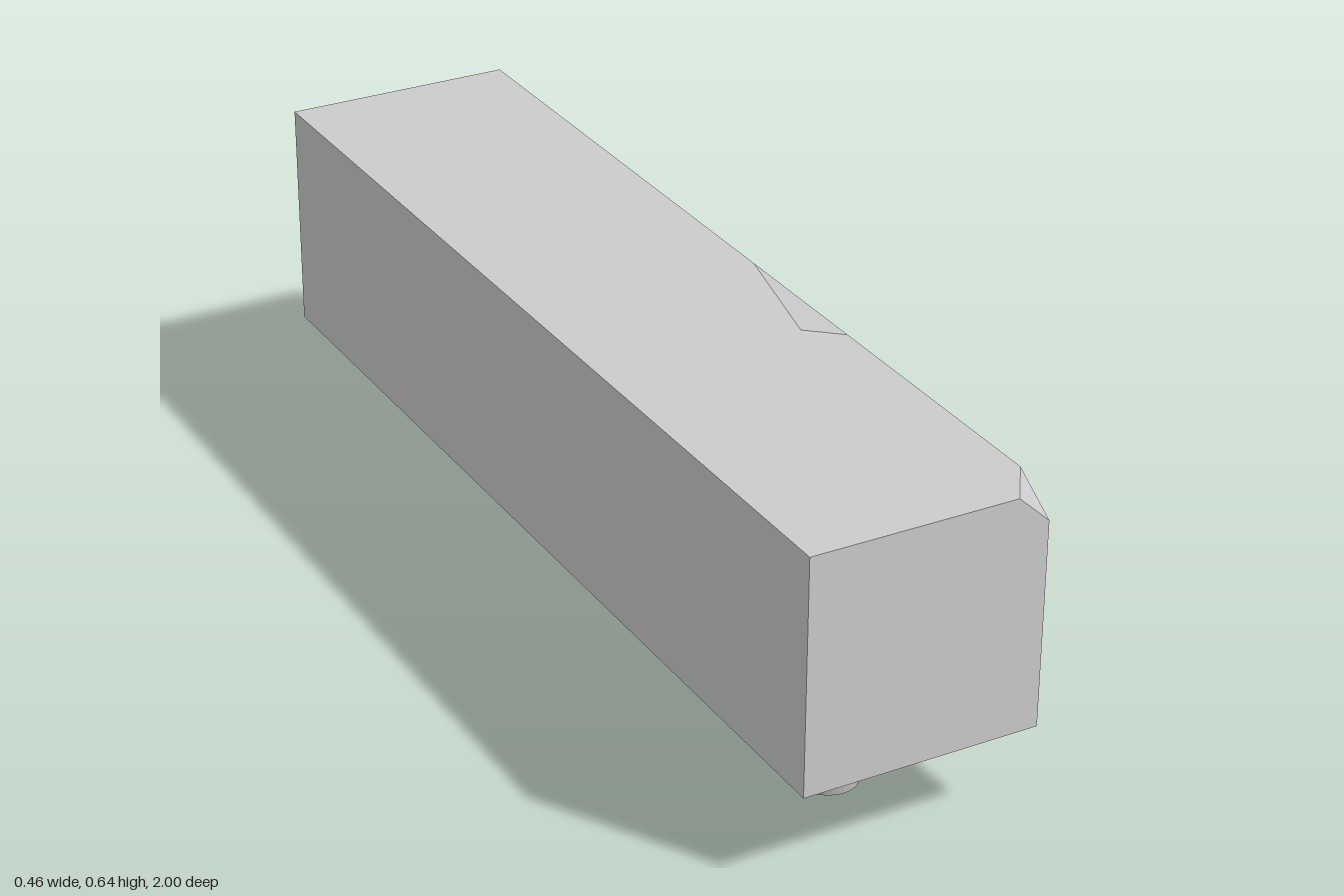
import * as THREE from 'three';

const W = 0.228, BOTTOM = 0.187, TOP = 0.642, L = 1;

// Each face is a corner loop, fanned from its first corner, with one shared normal
function facesGeometry(faces) {
  const positions = [], normals = [];
  for (const loop of faces) {
    const p = loop.map((c) => new THREE.Vector3(...c));
    const n = new THREE.Vector3();
    for (let i = 1; i < p.length - 1; i++) {
      n.add(p[i].clone().sub(p[0]).cross(p[i + 1].clone().sub(p[0])));
    }
    n.normalize();
    for (let i = 1; i < p.length - 1; i++) {
      for (const v of [p[0], p[i], p[i + 1]]) {
        positions.push(v.x, v.y, v.z);
        normals.push(n.x, n.y, n.z);
      }
    }
  }
  const g = new THREE.BufferGeometry();
  g.setAttribute('position', new THREE.Float32BufferAttribute(positions, 3));
  g.setAttribute('normal', new THREE.Float32BufferAttribute(normals, 3));
  return g;
}

export function createModel() {
  const model = new THREE.Group();
  const grey = new THREE.MeshStandardMaterial({ color: 0xcccccc });
  const greyFlat = new THREE.MeshStandardMaterial({ color: 0xcccccc, flatShading: true });

  // Box corners: left/right, bottom/top, front/back
  const lbf = [W, BOTTOM, L], lbb = [W, BOTTOM, -L], ltb = [W, TOP, -L];
  const rbf = [-W, BOTTOM, L], rbb = [-W, BOTTOM, -L], rtf = [-W, TOP, L], rtb = [-W, TOP, -L];
  // Clipped top front corner
  const cutAcross = [0.167, TOP, L], cutDown = [W, 0.585, L], cutBack = [W, TOP, 0.91];
  // Chip folded over the top edge
  const chipFront = [W, TOP, 0.365], chipBack = [W, TOP, 0.035];
  const chipTop = [0.165, TOP, 0.31], chipSide = [W, 0.59, 0.2];

  const body = new THREE.Mesh(facesGeometry([
    [rtf, cutAcross, cutBack, chipFront, chipTop, chipBack, ltb, rtb], // top
    [lbf, lbb, ltb, chipBack, chipSide, chipFront, cutBack, cutDown], // left side
    [rbf, lbf, cutDown, cutAcross, rtf], // front
    [rbb, rtb, ltb, lbb], // back
    [rbb, rbf, rtf, rtb], // right side
    [rbb, lbb, lbf, rbf], // underside
    [cutAcross, cutDown, cutBack], // clipped corner
  ]), grey);
  body.name = 'body';
  model.add(body);

  const chip = new THREE.Mesh(facesGeometry([[chipFront, chipSide, chipBack, chipTop]]), grey);
  chip.name = 'edgeChip';
  model.add(chip);

  // Tapered feet
  const footGeometry = new THREE.CylinderGeometry(0.101, 0.057, BOTTOM, 32);
  for (const [name, z] of [['frontFoot', 0.725], ['backFoot', -0.75]]) {
    const foot = new THREE.Mesh(footGeometry, greyFlat);
    foot.name = name;
    foot.position.set(-0.013, BOTTOM / 2, z);
    model.add(foot);
  }
  return model;
}
